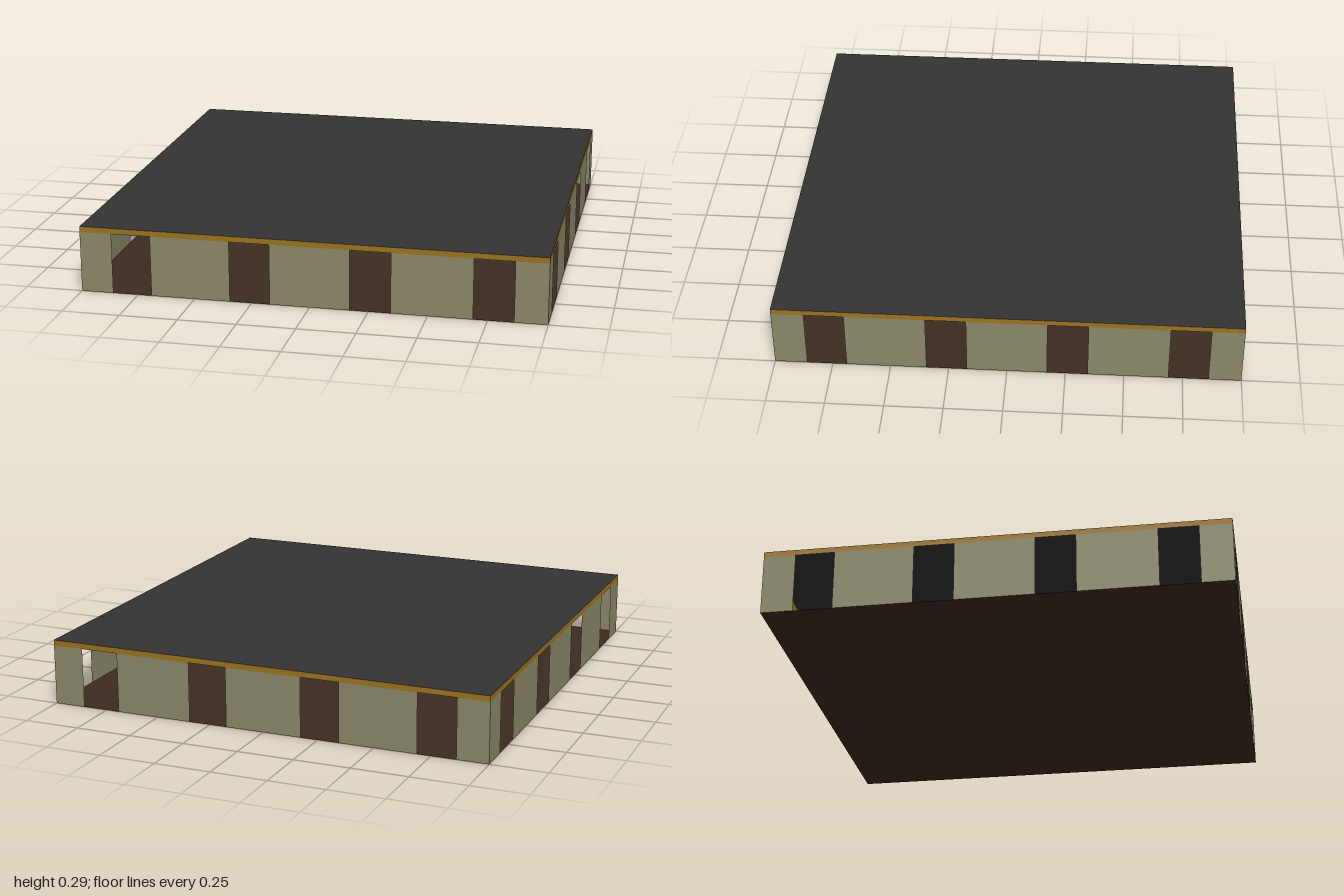
import * as THREE from 'three';

const WALL_H = 0.265, TOP = 0.29;

function material(color) {
  return new THREE.MeshStandardMaterial({ color, side: THREE.DoubleSide });
}

function sheet(name, w, h, mat) {
  const mesh = new THREE.Mesh(new THREE.PlaneGeometry(w, h), mat);
  mesh.name = name;
  return mesh;
}

export function createModel() {
  const group = new THREE.Group();
  group.name = 'pavilion';
  const wallMat = material(0x8b8868);
  const trimMat = material(0x9a7420);

  // Floor and flat roof
  const floor = sheet('floor', 2, 2, material(0x3d2b1f));
  floor.rotation.x = -Math.PI / 2;
  const roof = sheet('roof', 2, 2, material(0x333333));
  roof.rotation.x = -Math.PI / 2;
  roof.position.y = TOP;
  group.add(floor, roof);

  // Four thin sides: panels with full-height openings under a trim band
  const panels = [[-1, -0.86], [-0.69, -0.345], [-0.172, 0.172], [0.345, 0.69], [0.86, 1]];
  ['front', 'left', 'back', 'right'].forEach((label, i) => {
    const side = new THREE.Group();
    side.name = label + 'Side';
    side.rotation.y = i * Math.PI / 2;
    for (const [a, b] of panels) {
      const panel = sheet('wallPanel', b - a, WALL_H, wallMat);
      panel.position.set((a + b) / 2, WALL_H / 2, 1);
      side.add(panel);
    }
    const band = sheet('roofTrim', 2, TOP - WALL_H, trimMat);
    band.position.set(0, (TOP + WALL_H) / 2, 1);
    side.add(band);
    group.add(side);
  });

  return group;
}
